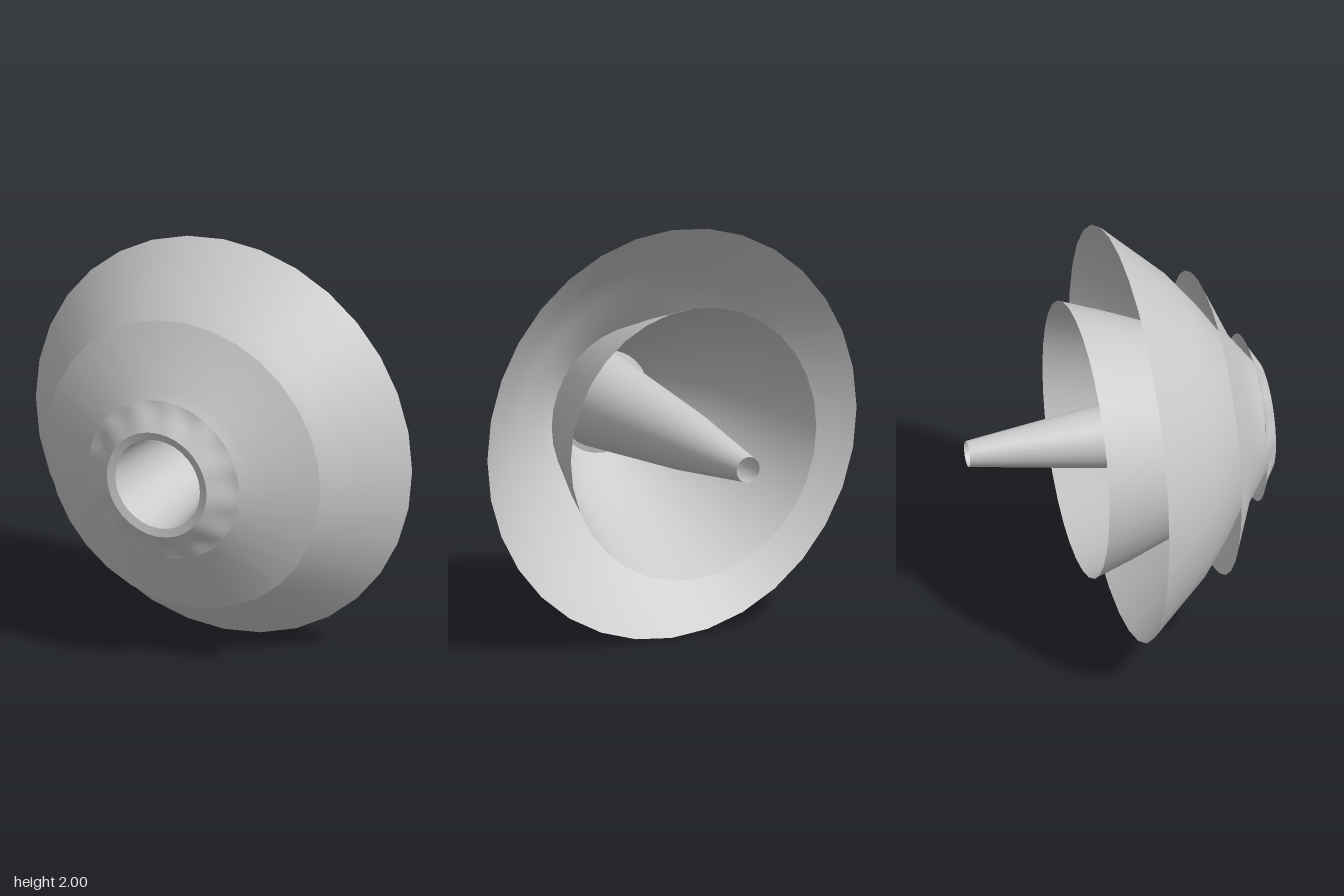
import * as THREE from 'three';

const SIDES = 32;
const material = new THREE.MeshStandardMaterial({ color: 0xcccccc, side: THREE.DoubleSide });

// Turned shell around the z axis; profile is a list of [radius, z]
function shell(name, profile, segments = SIDES) {
  const points = profile.map(([r, z]) => new THREE.Vector2(r, z));
  const geometry = new THREE.LatheGeometry(points, segments);
  geometry.rotateX(Math.PI / 2);
  const mesh = new THREE.Mesh(geometry, material);
  mesh.name = name;
  return mesh;
}

export function createModel() {
  const model = new THREE.Group();
  model.name = 'nestedCones';
  const body = new THREE.Group();
  body.name = 'body';
  body.position.y = 1;
  model.add(body);

  // Overlapping skirts, from back to front, each running under the next
  body.add(shell('backSkirt', [[0.665, -0.19], [0.59, 0.02], [0.44, 0.4], [0.25, 0.69]]));
  body.add(shell('wideSkirt', [[1, 0.02], [0.74, 0.31], [0.58, 0.44], [0.42, 0.55], [0.26, 0.68]]));
  body.add(shell('middleSkirt', [[0.727, 0.44], [0.43, 0.57], [0.33, 0.645], [0.26, 0.7]]));

  // Front frill with a clean rim and shallow crumples between its edges
  const frill = shell('frontFrill', [[0.4, 0.645], [0.372, 0.661], [0.332, 0.683], [0.265, 0.72]], 96);
  const p = frill.geometry.attributes.position;
  for (let i = 0; i < p.count; i++) {
    const x = p.getX(i), y = p.getY(i), r = Math.hypot(x, y), a = Math.atan2(y, x);
    if (r > 0.39 || r < 0.28) continue;
    const wave = 0.5 + 0.35 * Math.sin(12 * a) + 0.15 * Math.sin(5 * a + 1);
    const depth = (r > 0.35 ? 0.018 : 0.009) * wave;
    p.setXYZ(i, x * (1 - depth / r), y * (1 - depth / r), p.getZ(i) - depth * 0.5);
  }
  frill.geometry.computeVertexNormals();
  body.add(frill);

  // Open tapering tube through the middle, with a narrow lip at its mouth
  body.add(shell('tube', [[0.062, -0.72], [0.145, -0.12], [0.225, 0.71]]));
  body.add(shell('mouthLip', [[0.225, 0.71], [0.265, 0.72]]));

  return model;
}
